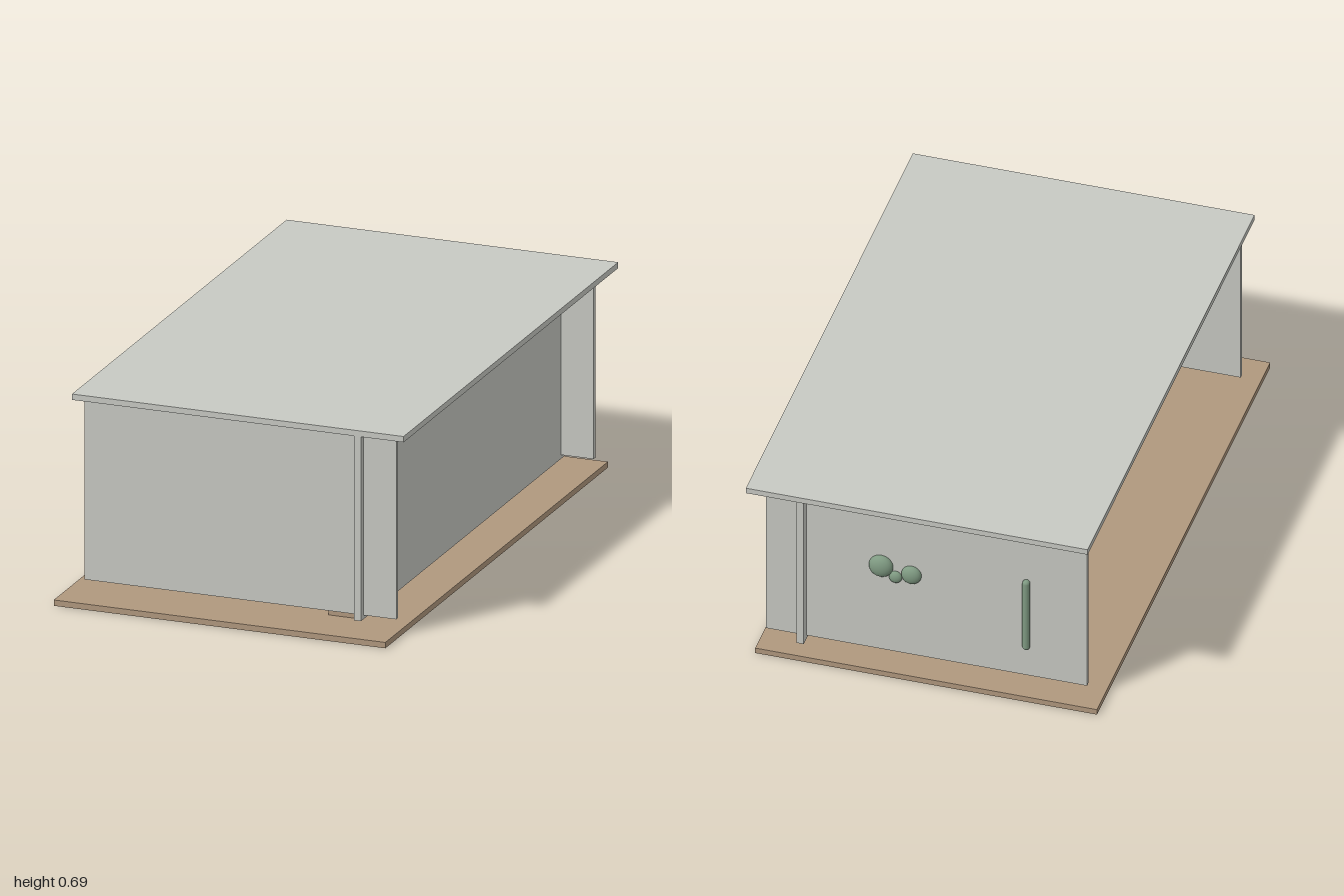
import * as THREE from 'three';

export function createModel() {
  const model = new THREE.Group();
  const material = (name, color) => {
    const m = new THREE.MeshStandardMaterial({ color });
    m.name = name;
    return m;
  };
  const grey = material('pale grey', 0xc7c9c3);
  const brown = material('wood brown', 0xb0987e);
  const green = material('sage green', 0x7f9a82);

  const add = (name, geometry, mat) => {
    const mesh = new THREE.Mesh(geometry, mat);
    mesh.name = name;
    model.add(mesh);
    return mesh;
  };
  // Box given by its lower and upper limits on each axis
  const box = (name, mat, [x0, x1], [y0, y1], [z0, z1]) => {
    const mesh = add(name, new THREE.BoxGeometry(x1 - x0, y1 - y0, z1 - z0), mat);
    mesh.position.set((x0 + x1) / 2, (y0 + y1) / 2, (z0 + z1) / 2);
  };

  // Shell: floor, roof, two end panels and one long wall that runs through them
  box('floorBoard', brown, [-0.59, 0.57], [0, 0.02], [-0.96, 1]);
  box('roofBoard', grey, [-0.57, 0.59], [0.675, 0.695], [-1, 0.89]);
  box('frontPanel', grey, [-0.535, 0.555], [0.055, 0.675], [0.85, 0.866]);
  box('backPanel', grey, [-0.535, 0.555], [0.055, 0.675], [-0.89, -0.872]);
  box('longWall', grey, [0.417, 0.441], [0.042, 0.675], [-0.922, 0.89]);

  // Interior: plinth carrying a wide block, an upper chest and a side shelf
  box('plinth', brown, [-0.31, 0.18], [0.02, 0.183], [-0.76, 0.73]);
  box('wideBlock', green, [-0.358, 0.23], [0.183, 0.467], [-0.84, 0.81]);
  box('upperChest', brown, [-0.33, 0.2], [0.467, 0.6], [-0.48, 0.45]);
  box('sideShelf', brown, [0.295, 0.417], [0.02, 0.3], [-0.84, 0.81]);

  // Flattened knobs on the back panel
  for (const [x, y, r] of [[0.163, 0.395, 0.041], [0.06, 0.38, 0.034], [0.114, 0.36, 0.022]]) {
    const knob = add('backKnob', new THREE.SphereGeometry(r, 24, 16), green);
    knob.position.set(x, y, -0.893);
    knob.scale.z = 0.6;
  }

  // Upright handle on the back panel
  const handle = add('backHandle', new THREE.CapsuleGeometry(0.013, 0.255, 6, 16), green);
  handle.position.set(-0.331, 0.306, -0.898);

  return model;
}
